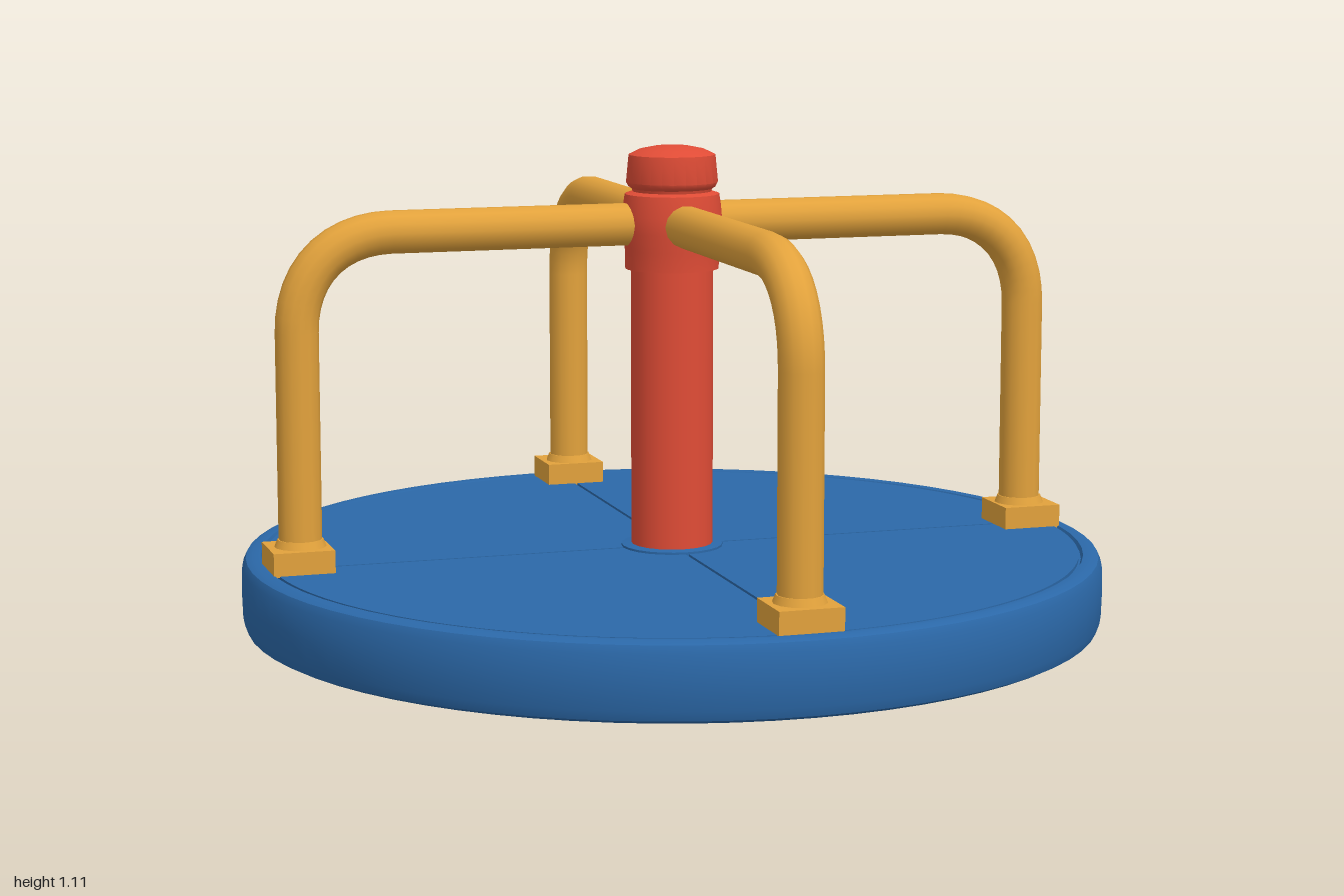
import * as THREE from 'three';
import { toCreasedNormals } from 'three/addons/utils/BufferGeometryUtils.js';

const mat = (name, color) => {
  const m = new THREE.MeshStandardMaterial({ color });
  m.name = name;
  return m;
};

export function createModel() {
  const group = new THREE.Group();
  group.name = 'merryGoRound';
  const blue = mat('blue', 0x2b68a8);
  const yellow = mat('yellow', 0xe2a23c);
  const red = mat('red', 0xe04c36);

  const add = (name, geometry, material, parent = group) => {
    const mesh = new THREE.Mesh(geometry, material);
    mesh.name = name;
    parent.add(mesh);
    return mesh;
  };
  // Turned part from [radius, height] pairs, listed bottom to top
  const turned = (points, sides) => toCreasedNormals(
    new THREE.LatheGeometry(points.map(([r, y]) => new THREE.Vector2(r, y)), sides), 0.6);

  // Round platform with a softened rim and shallow recesses above and below
  add('platform', turned([
    [0, 0.012], [0.95, 0.012], [0.955, 0.002], [0.975, 0], [0.99, 0.008], [0.998, 0.03],
    [1, 0.09], [0.998, 0.15], [0.99, 0.168], [0.975, 0.175], [0.955, 0.174], [0.95, 0.165], [0, 0.165],
  ], 72), blue);

  // Quarter panels separated by narrow seams, on the deck and underneath
  const gap = 0.004, inner = 0.11, outer = 0.945;
  const quarter = new THREE.Shape();
  const a = Math.asin(gap / outer), b = Math.asin(gap / inner);
  quarter.absarc(0, 0, outer, a, Math.PI / 2 - a, false);
  quarter.absarc(0, 0, inner, Math.PI / 2 - b, b, true);
  quarter.closePath();
  const panel = new THREE.ExtrudeGeometry(quarter, { depth: 0.008, bevelEnabled: false, curveSegments: 18 });
  panel.rotateX(-Math.PI / 2);
  for (let i = 0; i < 4; i++) {
    for (const [name, y] of [['deckPanel', 0.165], ['undersidePanel', 0.004]]) {
      const p = add(name, panel, blue);
      p.position.y = y;
      p.rotation.y = i * Math.PI / 2;
    }
  }
  add('undersideHub', turned([[0, 0], [0.09, 0.002], [0.1, 0.012]], 24), blue);
  add('postFlange', turned([[0.118, 0.165], [0.118, 0.178], [0.09, 0.181]], 24), blue);

  // Central post, arm collar and cap
  add('post', new THREE.CylinderGeometry(0.095, 0.095, 0.7, 20).translate(0, 0.52, 0), red);
  add('collar', turned([
    [0.09, 0.825], [0.108, 0.825], [0.109, 0.87], [0.116, 0.91], [0.116, 0.95], [0.109, 0.998], [0.09, 1.004],
  ], 24), red);
  add('cap', turned([
    [0.09, 1.0], [0.093, 1.01], [0.101, 1.015], [0.106, 1.025], [0.1, 1.088], [0.075, 1.1], [0.04, 1.107], [0, 1.11],
  ], 24), red);

  // Bent tube: straight arm, rounded elbow, straight leg
  const path = new THREE.CurvePath();
  const v = (x, y) => new THREE.Vector3(x, y, 0);
  path.add(new THREE.LineCurve3(v(0.04, 0.93), v(0.66, 0.93)));
  path.add(new THREE.CubicBezierCurve3(v(0.66, 0.93), v(0.79, 0.93), v(0.88, 0.85), v(0.88, 0.71)));
  path.add(new THREE.LineCurve3(v(0.88, 0.71), v(0.88, 0.18)));
  const tube = new THREE.TubeGeometry(path, 48, 0.049, 14);

  for (let i = 0; i < 4; i++) {
    const rail = new THREE.Group();
    rail.name = 'handrail';
    rail.rotation.y = i * Math.PI / 2;
    add('railTube', tube, yellow, rail);
    // Mounting foot with a small socket around the leg
    add('railFoot', new THREE.BoxGeometry(0.14, 0.055, 0.145).translate(0.885, 0.1975, 0), yellow, rail);
    add('railSocket', new THREE.CylinderGeometry(0.052, 0.06, 0.02, 14).translate(0.88, 0.232, 0), yellow, rail);
    group.add(rail);
  }
  return group;
}
